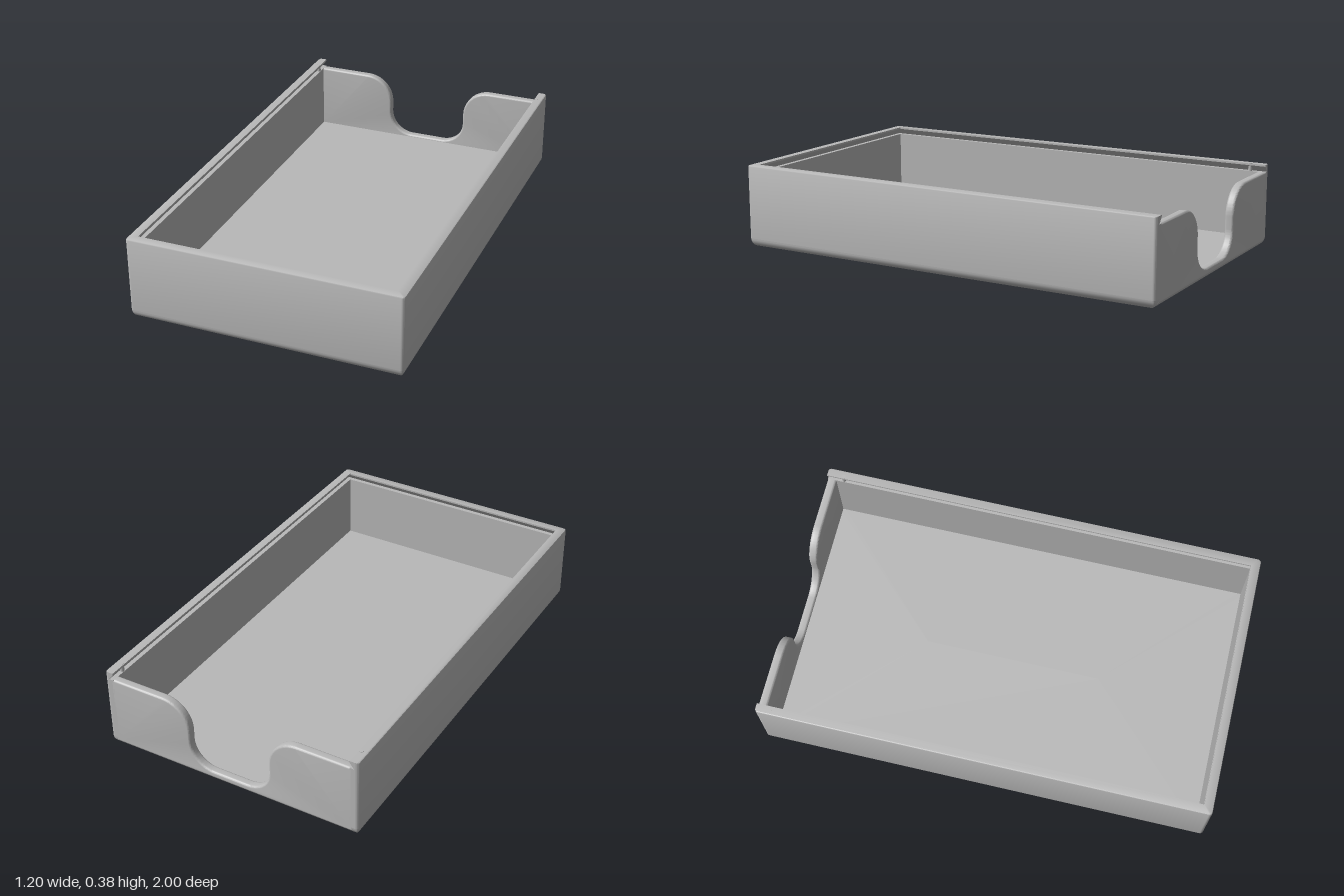
import * as THREE from 'three';
import { toCreasedNormals } from 'three/addons/utils/BufferGeometryUtils.js';

const W = 0.6, L = 1, H = 0.374;        // half width, half length, height
const LEDGE = 0.34, FLOOR = 0.04, WALL = 0.04, R = 0.015;

// Rounded rectangle inset by d; an open one keeps its back end at z = -L
function outline(d, y, open) {
  const r = Math.max(R - d, 0), pts = [];
  const corners = [[1, -1], [1, 1], [-1, 1], [-1, -1]];
  corners.forEach(([sx, sz], k) => {
    const inset = open && sz < 0 ? 0 : d;
    for (let i = 0; i <= 5; i++) {
      const a = (k - 1 + i / 5) * Math.PI / 2;
      pts.push(new THREE.Vector3(
        sx * (W - d - r) + r * Math.cos(a), y, sz * (L - inset - r) + r * Math.sin(a)));
    }
  });
  if (!open) pts.push(pts[0].clone());
  return pts;
}

// Skin a list of [inset, height] steps
function loft(profile, open) {
  const rows = profile.map(([d, y]) => outline(d, y, open));
  const pos = [], tri = new THREE.Triangle();
  const add = (a, b, c) => {
    if (tri.set(a, b, c).getArea() > 1e-9) for (const p of [a, b, c]) pos.push(p.x, p.y, p.z);
  };
  for (let i = 0; i + 1 < rows.length; i++) {
    for (let j = 0; j + 1 < rows[i].length; j++) {
      const a = rows[i][j], b = rows[i][j + 1], c = rows[i + 1][j], e = rows[i + 1][j + 1];
      add(a, c, b);
      add(b, c, e);
    }
  }
  const g = new THREE.BufferGeometry();
  g.setAttribute('position', new THREE.Float32BufferAttribute(pos, 3));
  return toCreasedNormals(g, 0.5);
}

export function createModel() {
  const group = new THREE.Group();
  const grey = new THREE.MeshStandardMaterial({ color: 0xb8b8b8 });
  grey.name = 'plain grey';
  const add = (name, geometry) => {
    const mesh = new THREE.Mesh(geometry, grey);
    mesh.name = name;
    group.add(mesh);
    return mesh;
  };

  // Solid floor with a rounded underside
  const base = [[W, 0]];
  for (let i = 0; i <= 8; i++) {
    const a = i / 8 * Math.PI / 2;
    base.push([0.04 * (1 - Math.sin(a)), 0.04 * (1 - Math.cos(a))]);
  }
  base.push([W, FLOOR]);
  add('floor', loft(base, false));

  // Side and front walls with an undercut groove for a sliding lid
  const wall = [[0, FLOOR], [0, H - 0.006], [0.002, H - 0.002], [0.006, H],
    [WALL, H], [WALL, H - 0.008], [0.02, LEDGE], [WALL, LEDGE], [WALL, FLOOR]];
  add('sideAndFrontWalls', loft(wall, true));

  // Flat ends of the side walls, facing backwards
  for (const s of [1, -1]) {
    const pts = wall.map(([d, y]) => new THREE.Vector2(s * (W - Math.max(d, R)), y));
    const end = add(s > 0 ? 'leftWallEnd' : 'rightWallEnd', new THREE.ShapeGeometry(new THREE.Shape(pts)));
    end.rotation.y = Math.PI;
    end.position.z = -L;
    // shape is mirrored by the turn, so both ends are covered
  }

  // Lower back wall with a round-cornered thumb notch
  const notchX = 0.19, notchY = 0.05, top = 0.13, low = 0.11, edge = W - 0.025;
  const back = new THREE.Shape();
  back.moveTo(-edge, 0.02);
  back.lineTo(edge, 0.02);
  back.lineTo(edge, LEDGE);
  back.lineTo(notchX + top, LEDGE);
  back.absarc(notchX + top, LEDGE - top, top, Math.PI / 2, Math.PI, false);
  back.lineTo(notchX, notchY + low);
  back.absarc(notchX - low, notchY + low, low, 0, -Math.PI / 2, true);
  back.lineTo(low - notchX, notchY);
  back.absarc(low - notchX, notchY + low, low, -Math.PI / 2, -Math.PI, true);
  back.lineTo(-notchX, LEDGE - top);
  back.absarc(-notchX - top, LEDGE - top, top, 0, Math.PI / 2, false);
  back.lineTo(-edge, LEDGE);
  const bevel = 0.01;
  const panel = new THREE.ExtrudeGeometry(back, {
    depth: WALL - 2 * bevel, bevelEnabled: true, bevelSize: bevel, bevelThickness: bevel,
    bevelOffset: -bevel, bevelSegments: 4, curveSegments: 16,
  });
  panel.translate(0, 0, -L + bevel);
  add('backWall', toCreasedNormals(panel, 0.5));

  // Small lid catches near the back of each groove
  for (const s of [1, -1]) {
    const pin = add(s > 0 ? 'leftCatch' : 'rightCatch',
      new THREE.CylinderGeometry(0.009, 0.009, H + 0.001 - LEDGE, 16));
    pin.position.set(s * 0.57, (H + 0.001 + LEDGE) / 2, -0.925);
  }
  return group;
}
